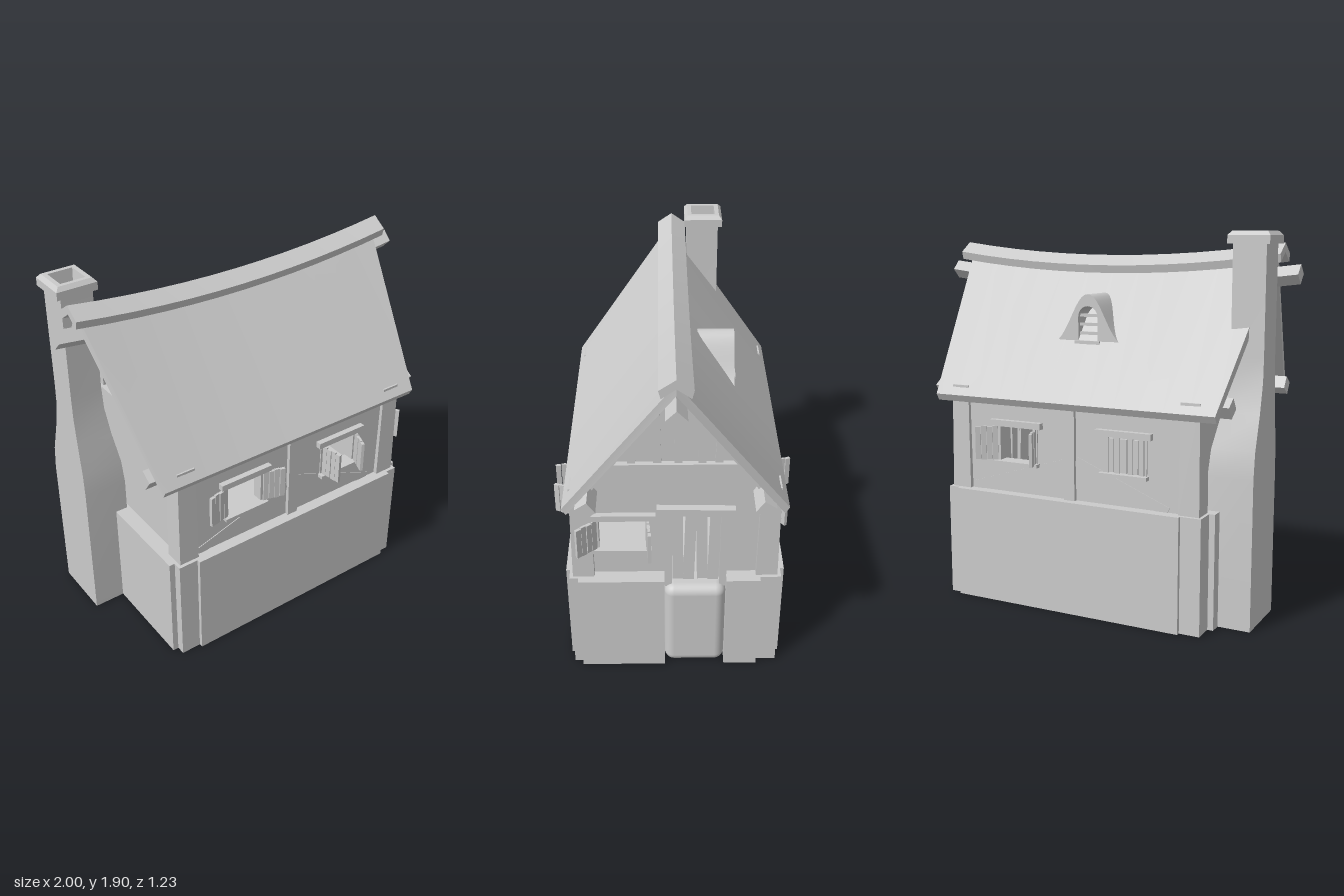
import * as THREE from 'three';
import { toCreasedNormals } from 'three/addons/utils/BufferGeometryUtils.js';
import { RoundedBoxGeometry } from 'three/addons/geometries/RoundedBoxGeometry.js';

const mat = new THREE.MeshStandardMaterial({ color: 0xcccccc, side: THREE.DoubleSide });

function add(parent, name, geo, x = 0, y = 0, z = 0) {
  const m = new THREE.Mesh(geo, mat);
  m.name = name;
  m.position.set(x, y, z);
  parent.add(m);
  return m;
}

// Box given by its extents
function block(parent, name, x0, x1, y0, y1, z0, z1) {
  return add(parent, name, new THREE.BoxGeometry(x1 - x0, y1 - y0, z1 - z0),
    (x0 + x1) / 2, (y0 + y1) / 2, (z0 + z1) / 2);
}

// Closed solid through a row of equal cross-sections
function loft(rings) {
  const p = [], n = rings[0].length;
  const tri = (a, b, c) => p.push(...a, ...b, ...c);
  for (let i = 0; i < rings.length - 1; i++) {
    for (let j = 0; j < n; j++) {
      const k = (j + 1) % n, r = rings[i], s = rings[i + 1];
      tri(r[j], r[k], s[k]);
      tri(r[j], s[k], s[j]);
    }
  }
  const first = rings[0], last = rings[rings.length - 1];
  for (let j = 1; j < n - 1; j++) {
    tri(first[0], first[j + 1], first[j]);
    tri(last[0], last[j], last[j + 1]);
  }
  const g = new THREE.BufferGeometry();
  g.setAttribute('position', new THREE.Float32BufferAttribute(p, 3));
  g.computeVertexNormals();
  return toCreasedNormals(g, 0.5);
}

// Loft along x; section(t) gives [x, y, z] points, t from -1 to 1
function loftX(section, side = 1, steps = 12) {
  const rings = [];
  for (let i = 0; i <= steps; i++) {
    const ring = section((2 * i) / steps - 1).map(([x, y, z]) => [x, y, z * side]);
    rings.push(side < 0 ? ring.reverse() : ring);
  }
  return loft(rings);
}

function rectHole(x0, x1, y0, y1) {
  return new THREE.Path([[x0, y0], [x1, y0], [x1, y1], [x0, y1]].map(q => new THREE.Vector2(...q)));
}

const ridge = t => 1.745 + 0.065 * t * t; // sagging ridge line

// Wall panel facing local +z, its outer face at z = out
function wall(parent, name, angle, outline, holes, out) {
  const g = new THREE.Group();
  g.name = name;
  g.rotation.y = angle;
  parent.add(g);
  const shape = new THREE.Shape(outline.map(q => new THREE.Vector2(...q)));
  shape.holes = holes.map(h => rectHole(...h));
  add(g, 'wallPanel', new THREE.ExtrudeGeometry(shape, { depth: 0.05, bevelEnabled: false }), 0, 0, out - 0.05);
  return g;
}

// Slatted shutter hinged at x; side -1 is the left leaf; 0 degrees is closed
function shutter(parent, x, out, side, degrees, width) {
  const g = new THREE.Group();
  g.name = 'shutter';
  g.position.set(x, 0, out + 0.012);
  g.rotation.y = side * degrees * Math.PI / 180;
  parent.add(g);
  for (let i = 0; i < 4; i++) {
    const w = width / 4;
    add(g, 'slat', new THREE.BoxGeometry(w - 0.003, 0.175 - (i % 2) * 0.008, 0.012 + (i % 2) * 0.004),
      -side * (i + 0.5) * w, 0.835, 0);
  }
}

// Lintel, sill, jambs and two shutters round an opening
function windowTrim(parent, cx, half, out, left, right) {
  block(parent, 'lintel', cx - half - 0.04, cx + half + 0.04, 0.925, 0.957, out - 0.03, out + 0.03);
  block(parent, 'sill', cx - half - 0.02, cx + half + 0.02, 0.727, 0.745, out - 0.03, out + 0.035);
  for (const s of [-1, 1]) {
    block(parent, 'jamb', cx + s * half - 0.01, cx + s * half + 0.01, 0.74, 0.93, out - 0.05, out + 0.006);
    shutter(parent, cx + s * half, out, s, s < 0 ? left : right, Math.max(half, 0.118));
  }
}

// Timber between two points on a wall
function timber(parent, name, x0, y0, x1, y1, width, out, depth) {
  const m = add(parent, name, new THREE.BoxGeometry(Math.hypot(x1 - x0, y1 - y0), width, 0.04),
    (x0 + x1) / 2, (y0 + y1) / 2, out + depth - 0.02);
  m.rotation.z = Math.atan2(y1 - y0, x1 - x0);
}

function gable(parent, name, angle, holes) {
  const out = 0.665;
  const g = wall(parent, name, angle,
    [[-0.47, 0.5], [0.47, 0.5], [0.47, 1.08], [0, 1.69], [-0.47, 1.08]], holes, out);
  block(g, 'tieBeam', -0.385, 0.385, 1.205, 1.26, out - 0.02, out + 0.03);
  [-0.2, -0.09, 0.02, 0.12, 0.21].forEach((u, i) => {
    const top = 1.66 - Math.abs(u) * 1.32;
    timber(g, 'gableStud', u + (i % 2 ? 0.006 : -0.006), 1.25, u, top, 0.038, out, 0.015);
  });
  for (const s of [-1, 1]) timber(g, 'rafter', s * 0.46, 1.08, s * 0.015, 1.68, 0.06, out, 0.035);
  return g;
}

export function createModel() {
  const root = new THREE.Group();
  root.name = 'cottage';
  const house = new THREE.Group();
  house.name = 'house';
  house.position.z = -0.035;
  root.add(house);

  // Stone base: long panels, corner blocks and floor
  for (const s of [-1, 1]) {
    const [a, b] = s > 0 ? [0.47, 0.55] : [-0.55, -0.47];
    block(house, 'basePanel', -0.61, 0.65, 0, 0.58, a, b);
    for (const t of [-1, 1]) {
      add(house, 'baseCorner', new THREE.BoxGeometry(0.12, 0.58, 0.12), t * 0.655, 0.29, s * 0.47);
      const post = add(house, 'cornerPost', new THREE.CylinderGeometry(0.069, 0.077, 0.56, 4, 1).toNonIndexed(),
        t * 0.645, 0.84, s * 0.458);
      post.geometry.rotateY(Math.PI / 4);
      post.geometry.computeVertexNormals();
    }
  }
  block(house, 'floor', -0.66, 0.66, 0.48, 0.52, -0.48, 0.48);

  // Front and back walls with windows at both ends
  const outline = [[-0.66, 0.5], [0.66, 0.5], [0.66, 1.08], [-0.66, 1.08]];
  const openings = [[-0.41, -0.19, 0.745, 0.925], [0.2, 0.42, 0.745, 0.925]];
  const mirrored = openings.map(([a, b, c, d]) => [-b, -a, c, d]);
  const front = wall(house, 'frontWall', 0, outline, openings, 0.49);
  const back = wall(house, 'backWall', Math.PI, outline, mirrored, 0.49);
  windowTrim(front, -0.3, 0.11, 0.49, 168, 165);
  windowTrim(front, 0.31, 0.11, 0.49, 82, 68);
  windowTrim(back, -0.31, 0.11, 0.49, 150, 110);
  windowTrim(back, 0.3, 0.11, 0.49, 0, 0);
  for (const w of [front, back]) {
    block(w, 'middlePost', -0.03, 0.03, 0.56, 1.08, 0.45, 0.51);
    timber(w, 'brace', -0.58, 0.59, -0.03, 0.76, 0.05, 0.49, 0.004);
    timber(w, 'brace', 0.03, 0.78, 0.53, 0.58, 0.05, 0.49, 0.004);
  }

  // Right gable with window, door and step
  const right = gable(house, 'rightGable', Math.PI / 2,
    [[-0.385, -0.135, 0.745, 0.925], [-0.02, 0.23, 0.52, 0.96]]);
  windowTrim(right, -0.26, 0.125, 0.665, 140, 95);
  block(right, 'baseSide', -0.485, -0.055, 0, 0.58, 0.64, 0.745);
  block(right, 'baseSide', 0.255, 0.425, 0, 0.58, 0.64, 0.745);
  add(right, 'doorStep', new RoundedBoxGeometry(0.31, 0.52, 0.2, 4, 0.05), 0.1, 0.26, 0.635);
  const lintel = block(right, 'doorLintel', -0.09, 0.29, 0.96, 1.0, 0.63, 0.705);
  lintel.rotation.z = -0.02;
  for (const u of [-0.035, 0.24]) block(right, 'doorJamb', u - 0.018, u + 0.018, 0.5, 0.965, 0.62, 0.69);
  for (let i = 0; i < 4; i++) {
    const plank = add(right, 'doorPlank', new THREE.BoxGeometry(0.055, 0.45 - (i % 2) * 0.015, 0.02),
      0.012 + i * 0.061, 0.735, 0.645 + (i % 2) * 0.006);
    plank.rotation.z = [0.015, -0.025, 0.02, -0.02][i];
  }

  // Left gable, behind the chimney
  const left = gable(house, 'leftGable', -Math.PI / 2, []);
  block(left, 'baseSide', -0.425, 0.485, 0, 0.58, 0.64, 0.745);

  // Roof: two sagging slabs, ridge cap and beams
  for (const s of [-1, 1]) {
    add(house, 'roofSlope', loftX(t => [
      [0.885 * t, ridge(t), 0], [0.778 * t, 1.07, 0.535],
      [0.778 * t, 1.035, 0.515], [0.885 * t, ridge(t) - 0.06, 0]], s));
    add(house, 'ridgeCap', loftX(t => {
      const x = 0.92 * t, y = ridge(t) + 0.04;
      return [[x, y, 0], [x, y - 0.052, 0.076], [x, y - 0.092, 0.066], [x, y - 0.045, 0]];
    }, s));
    const beam = add(house, 'eaveBeam', new THREE.BoxGeometry(1.65, 0.07, 0.07), 0.005, 1.095, s * 0.42);
    beam.rotation.x = s * 0.6;
  }
  add(house, 'ridgeBeam', loftX(t => {
    const y = 1.635 + 0.065 * t * t;
    return [[t, y + 0.048, 0], [t, y, 0.048], [t, y - 0.048, 0], [t, y, -0.048]];
  }));

  // Bell-shaped dormer on the back slope with an arched, slatted window
  const bell = x => 1.325 + 0.27 * Math.exp(-Math.pow(Math.abs(x) / 0.125, 2.2));
  const dormerShape = new THREE.Shape();
  dormerShape.moveTo(-0.268, 1.315);
  dormerShape.lineTo(0.268, 1.315);
  for (let i = 0; i <= 32; i++) {
    const x = 0.268 - (0.536 * i) / 32;
    dormerShape.lineTo(x, bell(x));
  }
  const arch = new THREE.Path();
  arch.moveTo(-0.055, 1.36);
  arch.lineTo(0.055, 1.36);
  arch.lineTo(0.055, 1.48);
  arch.absarc(0, 1.48, 0.055, 0, Math.PI, false);
  arch.lineTo(-0.055, 1.36);
  dormerShape.holes.push(arch);
  const dormer = new THREE.Group();
  dormer.name = 'dormer';
  dormer.position.z = -0.305;
  house.add(dormer);
  add(dormer, 'dormerHood', toCreasedNormals(
    new THREE.ExtrudeGeometry(dormerShape, { depth: 0.2, bevelEnabled: false, curveSegments: 8 }), 0.6));
  for (let i = 0; i < 3; i++) block(dormer, 'dormerSlat', -0.055, 0.055, 1.39 + i * 0.045, 1.405 + i * 0.045, 0.02, 0.035);
  block(dormer, 'dormerSill', -0.07, 0.07, 1.345, 1.362, -0.012, 0.03);

  // Chimney: broad foot, tapering shoulder, flue, rim and hollow top
  const levels = [ // y, x0, x1, z0, z1
    [0, -0.91, -0.68, -0.4, -0.07], [0.75, -0.91, -0.68, -0.4, -0.07],
    [0.88, -0.91, -0.69, -0.385, -0.077], [1.05, -0.91, -0.72, -0.33, -0.1],
    [1.2, -0.91, -0.74, -0.295, -0.117], [1.32, -0.91, -0.745, -0.29, -0.12],
    [1.845, -0.91, -0.745, -0.29, -0.12], [1.845, -0.932, -0.724, -0.312, -0.106],
    [1.885, -0.932, -0.724, -0.312, -0.106], [1.905, -0.915, -0.741, -0.295, -0.123],
    [1.905, -0.892, -0.764, -0.272, -0.144], [1.76, -0.88, -0.776, -0.26, -0.156]];
  add(root, 'chimney', loft(levels.map(([y, x0, x1, z0, z1]) =>
    [[x1, y, z1], [x1, y, z0], [x0, y, z0], [x0, y, z1]])));

  return root;
}
